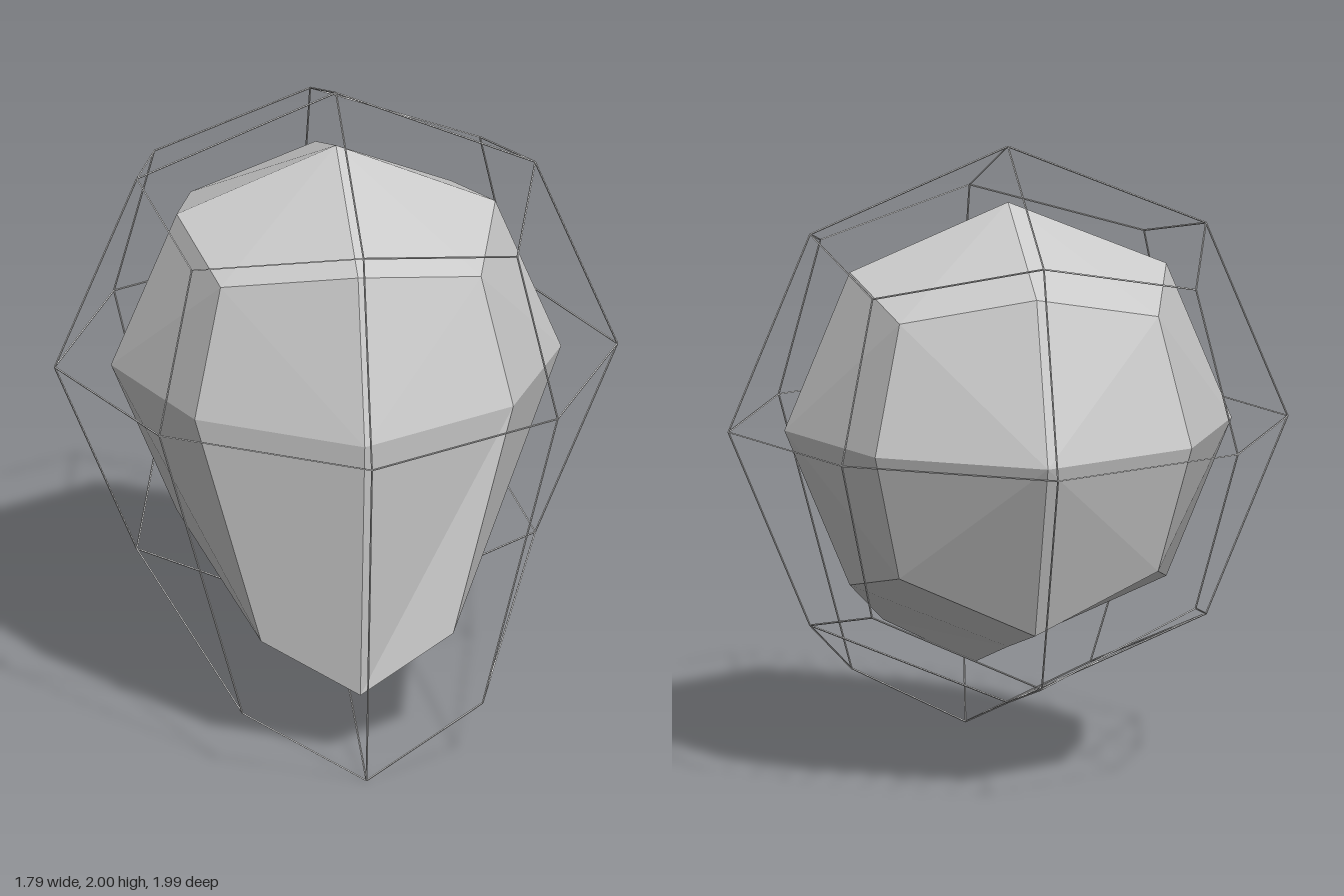
import * as THREE from 'three';

const MID_Y = 1.11; // height both shells are centred on

// Rows: low, middle, high. Columns: back, middle, front. Each is [x, y, z].
const CENTRE_LINE = [
  [[0, 0.385, -0.67], [0, 0.22, 0], [0, 0.003, 0.84]],
  [[0, 1.11, -0.99], null, [0, 1.11, 0.99]],
  [[0, 1.735, -0.71], [0, 1.997, 0], [0, 1.735, 0.76]],
];
const SIDE = [
  [[0.515, 0.6, -0.51], [0.63, 0.485, 0], [0.38, 0.205, 0.73]],
  [[0.63, 1.11, -0.63], [0.89, 1.11, 0], [0.63, 1.11, 0.62]],
  [[0.515, 1.62, -0.52], [0.63, 1.735, 0], [0.515, 1.62, 0.51]],
];

// Shell point for a grid cell, i, j, k each -1, 0 or 1; the sides are mirrored
function point([i, j, k]) {
  const p = (i === 0 ? CENTRE_LINE : SIDE)[j + 1][k + 1];
  return new THREE.Vector3(p[0] * (i || 1), p[1], p[2]);
}

// Solid faceted head: the shell shrunk about its centre
function createHead(scale) {
  const positions = [];
  const add = (...cells) => cells.forEach((c) => {
    const p = point(c);
    positions.push(p.x * scale, MID_Y + (p.y - MID_Y) * scale, p.z * scale);
  });
  for (let a = 0; a < 3; a++) {
    for (const s of [-1, 1]) for (const u of [-1, 1]) for (const v of [-1, 1]) {
      const cell = (du, dv) => {
        const c = [0, 0, 0];
        c[a] = s;
        c[(a + 1) % 3] = du;
        c[(a + 2) % 3] = dv;
        return c;
      };
      let q = [cell(0, 0), cell(u, 0), cell(u, v), cell(0, v)];
      if (s * u * v < 0) q.reverse();
      // the left cheek folds inward, every other quad folds from centre to corner
      const corner = cell(u, v).join();
      const leftCheek = a === 2 && corner === '1,-1,1';
      const start = q.findIndex((c) => c.join() === corner) + (leftCheek ? 1 : 0);
      q = q.map((_, n) => q[(start + n) % 4]);
      add(q[0], q[1], q[2], q[0], q[2], q[3]);
    }
  }
  const geometry = new THREE.BufferGeometry();
  geometry.setAttribute('position', new THREE.Float32BufferAttribute(positions, 3));
  geometry.computeVertexNormals();
  const head = new THREE.Mesh(
    geometry,
    new THREE.MeshStandardMaterial({ color: 0xcccccc, flatShading: true })
  );
  head.name = 'head';
  return head;
}

// Thin wire between two shell points
function createWire(from, to, material) {
  const along = to.clone().sub(from);
  const wire = new THREE.Mesh(
    new THREE.CylinderGeometry(0.003, 0.003, along.length(), 4),
    material
  );
  wire.position.copy(from).add(to).multiplyScalar(0.5);
  wire.quaternion.setFromUnitVectors(new THREE.Vector3(0, 1, 0), along.normalize());
  wire.name = 'cageWire';
  return wire;
}

// Open wire cage around the head
function createCage() {
  const cage = new THREE.Group();
  cage.name = 'cage';
  const material = new THREE.MeshStandardMaterial({ color: 0xcccccc, flatShading: true });
  const onShell = (c) => c.some((n) => n !== 0);
  for (let i = -1; i <= 1; i++) for (let j = -1; j <= 1; j++) for (let k = -1; k <= 1; k++) {
    const cell = [i, j, k];
    for (let a = 0; a < 3; a++) {
      const next = [...cell];
      next[a]++;
      if (next[a] > 1 || !onShell(cell) || !onShell(next)) continue;
      cage.add(createWire(point(cell), point(next), material));
    }
  }
  return cage;
}

export function createModel() {
  const model = new THREE.Group();
  model.name = 'cagedHead';
  model.add(createHead(0.8), createCage());
  return model;
}
